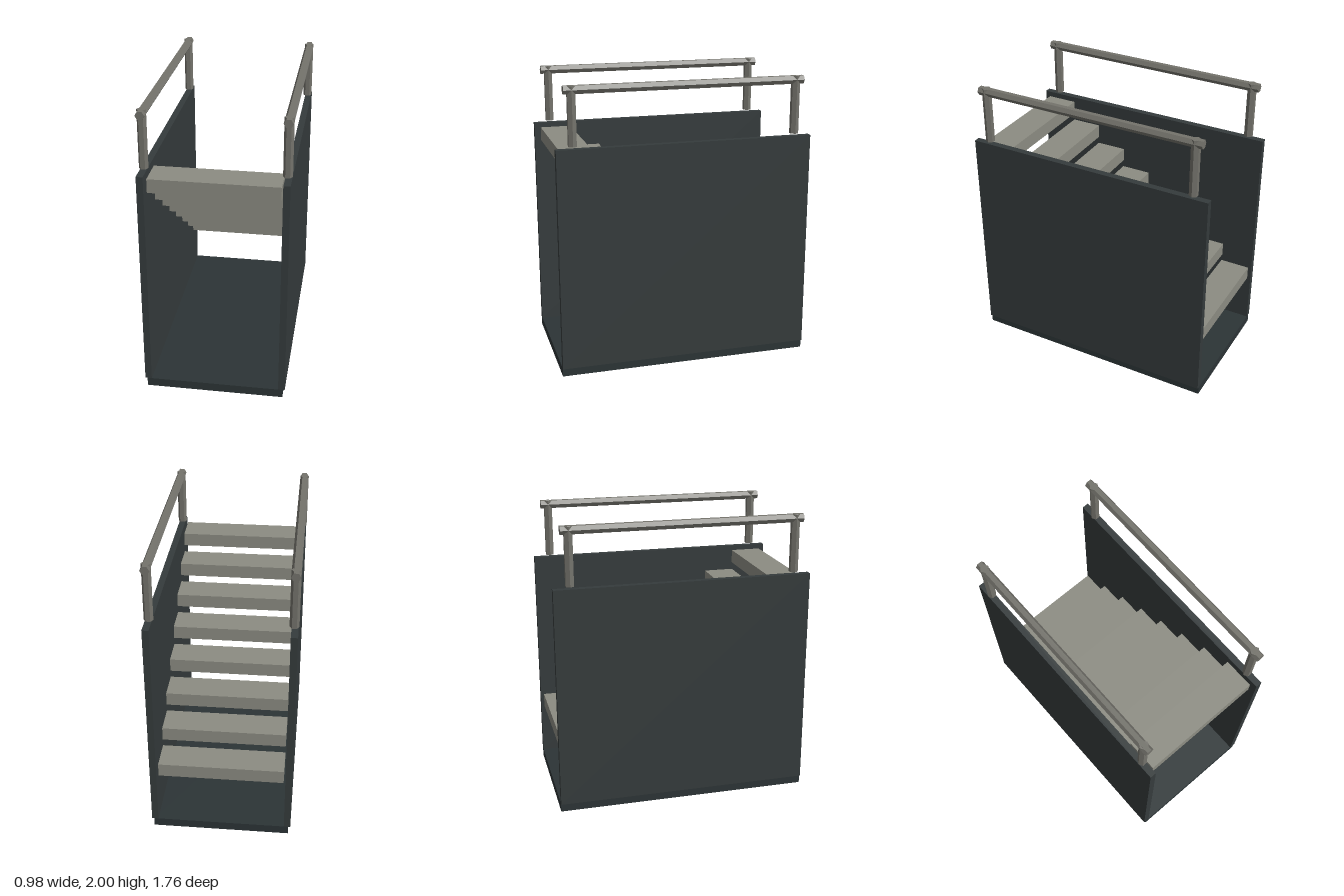
import * as THREE from 'three';

const material = (color) => new THREE.MeshStandardMaterial({ color, flatShading: true });

export function createModel() {
  const model = new THREE.Group();
  model.name = 'staircase';
  const baseMat = material(0x2c3436);
  const wallMat = material(0x353b3c);
  const stepMat = material(0x8c8c82);
  const railMat = material(0x74736c);

  const add = (name, geometry, mat, x, y, z) => {
    const mesh = new THREE.Mesh(geometry, mat);
    mesh.name = name;
    mesh.position.set(x, y, z);
    model.add(mesh);
  };
  // Six-sided bar, upright, with its corners towards the sides
  const bar = (length) => new THREE.CylinderGeometry(0.031, 0.031, length, 6).rotateY(Math.PI / 2);

  // Floor slab
  add('base', new THREE.BoxGeometry(0.94, 0.06, 1.76), baseMat, 0, 0.03, 0);

  // Open treads, climbing from the back to the front
  const tread = new THREE.BoxGeometry(0.855, 0.095, 0.215);
  for (let i = 0; i < 8; i++) {
    add(`step${i + 1}`, tread, stepMat, 0, 0.478 + i * 0.1477, -0.752 + i * 0.2118);
  }

  // Side walls, each with a handrail on two posts
  for (const [side, s] of [['left', 1], ['right', -1]]) {
    add(`${side}Wall`, new THREE.BoxGeometry(0.045, 1.53, 1.76), wallMat, s * 0.4625, 0.825, 0);
    add(`${side}Handrail`, bar(1.64).rotateX(Math.PI / 2), railMat, s * 0.458, 1.973, 0);
    for (const [end, e] of [['Front', 1], ['Back', -1]]) {
      add(`${side}${end}Post`, bar(0.394), railMat, s * 0.458, 1.802, e * 0.767);
    }
  }
  return model;
}
